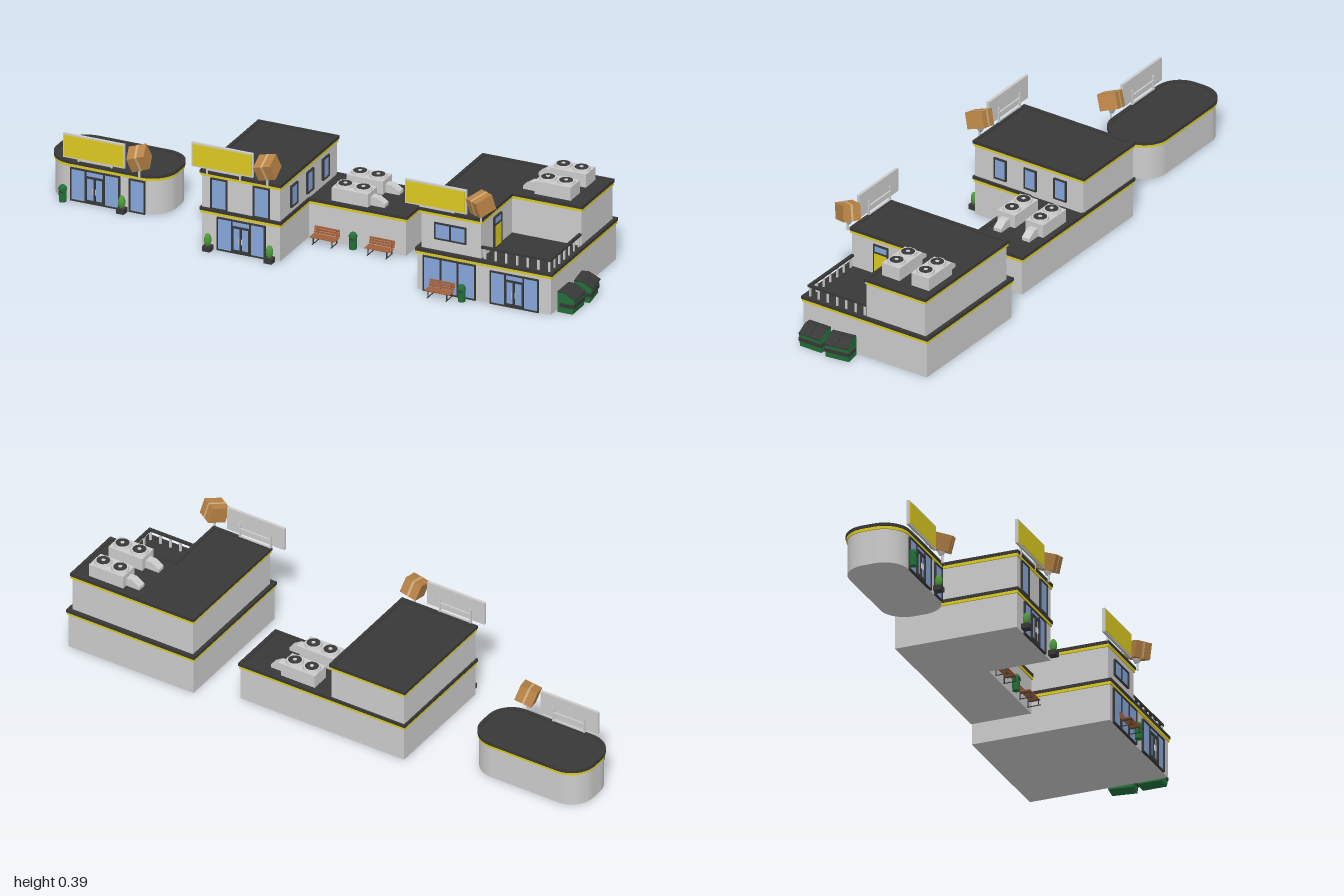
import * as THREE from 'three';

const mat = (color, side = THREE.FrontSide) => new THREE.MeshStandardMaterial({ color, side });
const M = {
  wall: mat(0xcccccc), dark: mat(0x383838), yellow: mat(0xdcca20), glass: mat(0x86a6da),
  card: mat(0xb98346), tape: mat(0xd0ae7c), green: mat(0x23703a), leaf: mat(0x4f9a3c), wood: mat(0xa8623c),
};

function add(parent, name, geo, material, x = 0, y = 0, z = 0) {
  const m = new THREE.Mesh(geo, material);
  m.name = name;
  m.position.set(x, y, z);
  parent.add(m);
  return m;
}
const box = (p, name, m, w, h, d, x, y, z) => add(p, name, new THREE.BoxGeometry(w, h, d), m, x, y, z);
const cyl = (p, name, m, r0, r1, h, x, y, z, n = 12) => add(p, name, new THREE.CylinderGeometry(r0, r1, h, n), m, x, y, z);
function group(parent, name, x = 0, y = 0, z = 0, ry = 0) {
  const g = new THREE.Group();
  g.name = name;
  g.position.set(x, y, z);
  g.rotation.y = ry;
  parent.add(g);
  return g;
}

// Footprint outlines in (x, -z), grown outwards by o
const poly = pts => new THREE.Shape(pts.map(([x, z]) => new THREE.Vector2(x, -z)));
const rect = (x0, x1, z0, z1) => o => poly([[x0 - o, z1 + o], [x1 + o, z1 + o], [x1 + o, z0 - o], [x0 - o, z0 - o]]);
// L plan with its notch at the front left-hand (+x) corner
const ell = (x0, xm, x1, z0, zm, z1) => o => poly([[x0 - o, z1 + o], [xm + o, z1 + o], [xm + o, zm + o],
  [x1 + o, zm + o], [x1 + o, z0 - o], [x0 - o, z0 - o]]);
const rounded = (x0, x1, z0, z1, r) => o => {
  const s = new THREE.Shape(), R = r + o;
  s.absarc(x1 - r, -z1 + r, R, -Math.PI / 2, 0);
  s.absarc(x1 - r, -z0 - r, R, 0, Math.PI / 2);
  s.absarc(x0 + r, -z0 - r, R, Math.PI / 2, Math.PI);
  s.absarc(x0 + r, -z1 + r, R, Math.PI, Math.PI * 1.5);
  return s;
};
function slab(parent, name, shape, y0, y1, material) {
  const geo = new THREE.ExtrudeGeometry(shape, { depth: y1 - y0, bevelEnabled: false, curveSegments: 6 });
  geo.rotateX(-Math.PI / 2);
  return add(parent, name, geo, material, 0, y0, 0);
}
// Walls, yellow band, dark roof and its raised edge
function storey(parent, name, plan, y0, top) {
  const g = group(parent, name);
  slab(g, 'walls', plan(0), y0, top - 0.018, M.wall);
  slab(g, 'yellowBand', plan(0.004), top - 0.021, top - 0.011, M.yellow);
  slab(g, 'roof', plan(0.006), top - 0.011, top - 0.004, M.dark);
  const rim = plan(0.006);
  rim.holes.push(new THREE.Path(plan(-0.006).getPoints(6)));
  slab(g, 'roofEdge', rim, top - 0.004, top, M.dark);
}

// Framed window; cols gives the relative pane widths, facing +z before turning
function glazing(parent, name, x, y, z, w, h, ry = 0, cols = [1], transom = 0) {
  const g = group(parent, name, x, y, z, ry), t = 0.0045;
  box(g, 'glass', M.glass, w, h, 0.004, 0, h / 2, 0.001);
  const sum = cols.reduce((a, b) => a + b);
  let px = -w / 2;
  [0, ...cols].forEach(c => {
    px += c / sum * w;
    box(g, 'mullion', M.dark, t, h + t, 0.008, px, h / 2, 0.003);
  });
  [0, h, ...(transom ? [transom] : [])].forEach(v => box(g, 'rail', M.dark, w, t, 0.008, 0, v, 0.003));
  return g;
}
// Shopfront: side panes around a double door
function shopfront(parent, x, z, w) {
  const g = glazing(parent, 'shopfront', x, 0.002, z, w, 0.114, 0, [1, 1.25, 1]);
  const d = w * 1.25 / 3.25;
  box(g, 'doorTransom', M.dark, d, 0.006, 0.01, 0, 0.092, 0.004);
  box(g, 'doorSill', M.dark, d, 0.01, 0.01, 0, 0.005, 0.004);
  box(g, 'doorMeeting', M.dark, 0.006, 0.092, 0.01, 0, 0.046, 0.004);
  [-1, 1].forEach(s => {
    box(g, 'doorStile', M.dark, 0.006, 0.092, 0.01, s * (d / 2 - 0.002), 0.046, 0.004);
    box(g, 'doorHandle', M.wall, 0.002, 0.02, 0.004, s * 0.006, 0.045, 0.011);
  });
}

// Blank roof sign on posts
function sign(parent, x, y, z, roofY) {
  const g = group(parent, 'roofSign', x, y, z);
  box(g, 'signCase', M.wall, 0.224, 0.086, 0.01, 0, 0, 0);
  box(g, 'signFace', M.yellow, 0.214, 0.076, 0.004, 0, 0, 0.005);
  const h = y - roofY;
  [-1, 1].forEach(s => box(g, 'signPost', M.wall, 0.006, h, 0.006, s * 0.06, -h / 2, -0.007));
  [-0.02, -0.05].forEach(v => box(g, 'signBrace', M.wall, 0.126, 0.005, 0.006, 0, v, -0.008));
}
// Tilted parcel on a pole
function parcel(parent, x, y, z, roofY, ry) {
  const g = group(parent, 'parcelSign', x, y, z);
  const b = group(g, 'parcel');
  b.rotation.set(0.32, ry, 0.22);
  box(b, 'carton', M.card, 0.062, 0.056, 0.066, 0, 0, 0);
  box(b, 'tape', M.tape, 0.008, 0.057, 0.067, 0, 0, 0);
  const h = y - roofY - 0.02;
  cyl(g, 'pole', M.wall, 0.004, 0.004, h, 0, -0.02 - h / 2, 0, 8);
  cyl(g, 'poleBracket', M.wall, 0.018, 0.008, 0.02, 0, -0.036, -0.002, 4);
}

// Rooftop cooling unit with two fans; the duct goes to side s
function coolingUnit(parent, x, y, z, s) {
  const g = group(parent, 'coolingUnit', x, y, z);
  box(g, 'casing', M.wall, 0.132, 0.047, 0.07, 0, 0.0235, 0);
  [-1, 1].forEach(k => {
    const fan = add(g, 'fanRing', new THREE.CylinderGeometry(0.028, 0.031, 0.008, 16), M.wall, k * 0.033, 0.051, 0);
    cyl(fan, 'fanOpening', M.dark, 0.023, 0.023, 0.002, 0, 0.004, 0, 16);
    cyl(fan, 'fanHub', M.wall, 0.007, 0.007, 0.003, 0, 0.005, 0, 8);
  });
  const duct = new THREE.Shape([[0, 0], [0.052, 0], [0.052, 0.012], [0.024, 0.03], [0, 0.03]].map(p => new THREE.Vector2(...p)));
  const geo = new THREE.ExtrudeGeometry(duct, { depth: 0.03, bevelEnabled: false });
  geo.translate(0, 0, -0.015);
  const d = add(g, 'duct', geo, M.wall, s * 0.065, 0, 0);
  d.rotation.y = s < 0 ? Math.PI : 0;
}

// Street furniture
function bin(parent, x, z) {
  const g = group(parent, 'litterBin', x, 0, z);
  cyl(g, 'binBody', M.green, 0.0135, 0.0125, 0.046, 0, 0.023, 0);
  cyl(g, 'binRim', M.green, 0.015, 0.015, 0.004, 0, 0.046, 0);
  add(g, 'binDome', new THREE.SphereGeometry(0.0135, 12, 5, 0, Math.PI * 2, 0, Math.PI / 2), M.green, 0, 0.047, 0);
  box(g, 'binSlot', M.dark, 0.014, 0.005, 0.003, 0, 0.038, 0.0125);
}
function planter(parent, x, z) {
  const g = group(parent, 'planter', x, 0, z);
  box(g, 'pot', M.dark, 0.028, 0.018, 0.028, 0, 0.009, 0);
  const bush = add(g, 'bush', new THREE.SphereGeometry(0.0125, 10, 8), M.leaf, 0, 0.038, 0);
  bush.scale.y = 1.9;
}
function bench(parent, x, z) {
  const g = group(parent, 'bench', x, 0, z);
  for (let i = 0; i < 4; i++) box(g, 'seatSlat', M.wood, 0.092, 0.003, 0.007, 0, 0.024, -0.01 + i * 0.009);
  for (let i = 0; i < 3; i++) box(g, 'backSlat', M.wood, 0.092, 0.007, 0.003, 0, 0.03 + i * 0.0085, -0.016 - i * 0.0015);
  [-0.034, 0.034].forEach(lx => {
    box(g, 'benchBackLeg', M.dark, 0.003, 0.048, 0.003, lx, 0.024, -0.0195);
    box(g, 'benchFrontLeg', M.dark, 0.003, 0.023, 0.003, lx, 0.0115, 0.018);
    box(g, 'benchFoot', M.dark, 0.003, 0.002, 0.048, lx, 0.001, 0.002);
    box(g, 'benchBearer', M.dark, 0.003, 0.003, 0.04, lx, 0.021, 0);
  });
}
function dumpster(parent, x, z, ry) {
  const g = group(parent, 'dumpster', x, 0, z, ry);
  const solid = (name, pts, w, m) => {
    const geo = new THREE.ExtrudeGeometry(new THREE.Shape(pts.map(p => new THREE.Vector2(...p))), { depth: w, bevelEnabled: false });
    geo.translate(0, 0, -w / 2);
    return add(g, name, geo, m);
  };
  solid('dumpsterBody', [[-0.03, 0], [0.024, 0], [0.03, 0.05], [-0.005, 0.07], [-0.03, 0.07]], 0.086, M.green);
  [-1, 1].forEach(s => {
    const lid = solid('dumpsterLid', [[0.033, 0.048], [0.033, 0.053], [-0.004, 0.074], [-0.031, 0.074], [-0.031, 0.069], [-0.006, 0.069]], 0.041, M.dark);
    lid.position.z = s * 0.0215;
    box(g, 'liftPocket', M.dark, 0.044, 0.013, 0.005, 0.001, 0.028, s * 0.0445);
  });
  box(g, 'frontBand', M.dark, 0.006, 0.013, 0.09, 0.027, 0.028, 0);
}

export function createModel() {
  const root = new THREE.Group();
  root.name = 'postalBuildings';

  // Small round-cornered building
  const a = group(root, 'smallBuilding');
  storey(a, 'groundFloor', rounded(-0.994, -0.564, -0.14, 0.07, 0.085), 0, 0.142);
  shopfront(a, -0.817, 0.07, 0.176);
  glazing(a, 'sideWindow', -0.664, 0.002, 0.07, 0.054, 0.114);
  sign(a, -0.818, 0.197, 0.077, 0.13);
  parcel(a, -0.652, 0.204, 0.082, 0.13, 0.3);
  bin(a, -0.925, 0.094);
  planter(a, -0.71, 0.094);

  // L-shaped building: two-storey block with a low wing
  const b = group(root, 'middleBuilding');
  storey(b, 'groundFloor', ell(-0.356, -0.072, 0.282, -0.212, 0.003, 0.222), 0, 0.144);
  storey(b, 'upperFloor', rect(-0.356, -0.072, -0.212, 0.222), 0.138, 0.278);
  shopfront(b, -0.212, 0.222, 0.172);
  [-0.293, -0.138].forEach(x => glazing(b, 'frontWindow', x, 0.146, 0.222, 0.056, 0.107));
  [0.12, 0, -0.12].forEach(z => glazing(b, 'sideWindow', -0.072, 0.165, z, 0.045, 0.073, Math.PI / 2));
  sign(b, -0.275, 0.333, 0.234, 0.265);
  parcel(b, -0.113, 0.336, 0.233, 0.265, 0.1);
  [-0.325, -0.1].forEach(x => planter(b, x, 0.244));
  [0, 0.2].forEach(x => bench(b, x, 0.031));
  bin(b, 0.1, 0.026);
  [-0.16, -0.047].forEach(z => coolingUnit(b, 0.07, 0.14, z, 1));

  // Large building with a corner balcony
  const c = group(root, 'largeBuilding');
  storey(c, 'groundFloor', rect(0.428, 0.915, -0.271, 0.222), 0, 0.15);
  storey(c, 'upperFloor', ell(0.438, 0.655, 0.908, -0.259, -0.025, 0.21), 0.144, 0.292);
  glazing(c, 'shopWindow', 0.546, 0.002, 0.222, 0.188, 0.122, 0, [1, 1, 1]);
  shopfront(c, 0.783, 0.222, 0.174);
  glazing(c, 'upperWindow', 0.544, 0.19, 0.21, 0.112, 0.055, 0, [1, 1]);
  const door = glazing(c, 'balconyDoor', 0.655, 0.146, 0.092, 0.054, 0.11, Math.PI / 2, [1], 0.083);
  box(door, 'doorLeaf', M.yellow, 0.05, 0.081, 0.006, 0, 0.041, 0.002);
  sign(c, 0.495, 0.344, 0.218, 0.28);
  parcel(c, 0.66, 0.35, 0.222, 0.28, -0.5);
  [-0.203, -0.086].forEach(z => coolingUnit(c, 0.79, 0.288, z, -1));
  bench(c, 0.525, 0.253);
  bin(c, 0.603, 0.25);
  dumpster(c, 0.955, 0.149, 0);
  dumpster(c, 0.96, 0.043, 0.14);

  // Balcony railing along the front and the left side
  const r = group(c, 'balconyRailing');
  box(r, 'frontRail', M.dark, 0.253, 0.008, 0.01, 0.7815, 0.187, 0.206);
  box(r, 'sideRail', M.dark, 0.01, 0.008, 0.236, 0.903, 0.187, 0.093);
  for (let i = 0; i < 7; i++) {
    box(r, 'frontPost', M.wall, 0.007, 0.042, 0.005, 0.667 + i * 0.039, 0.164, 0.206);
    if (i < 6) box(r, 'sidePost', M.wall, 0.005, 0.042, 0.007, 0.903, 0.164, -0.015 + i * 0.037);
  }
  return root;
}
